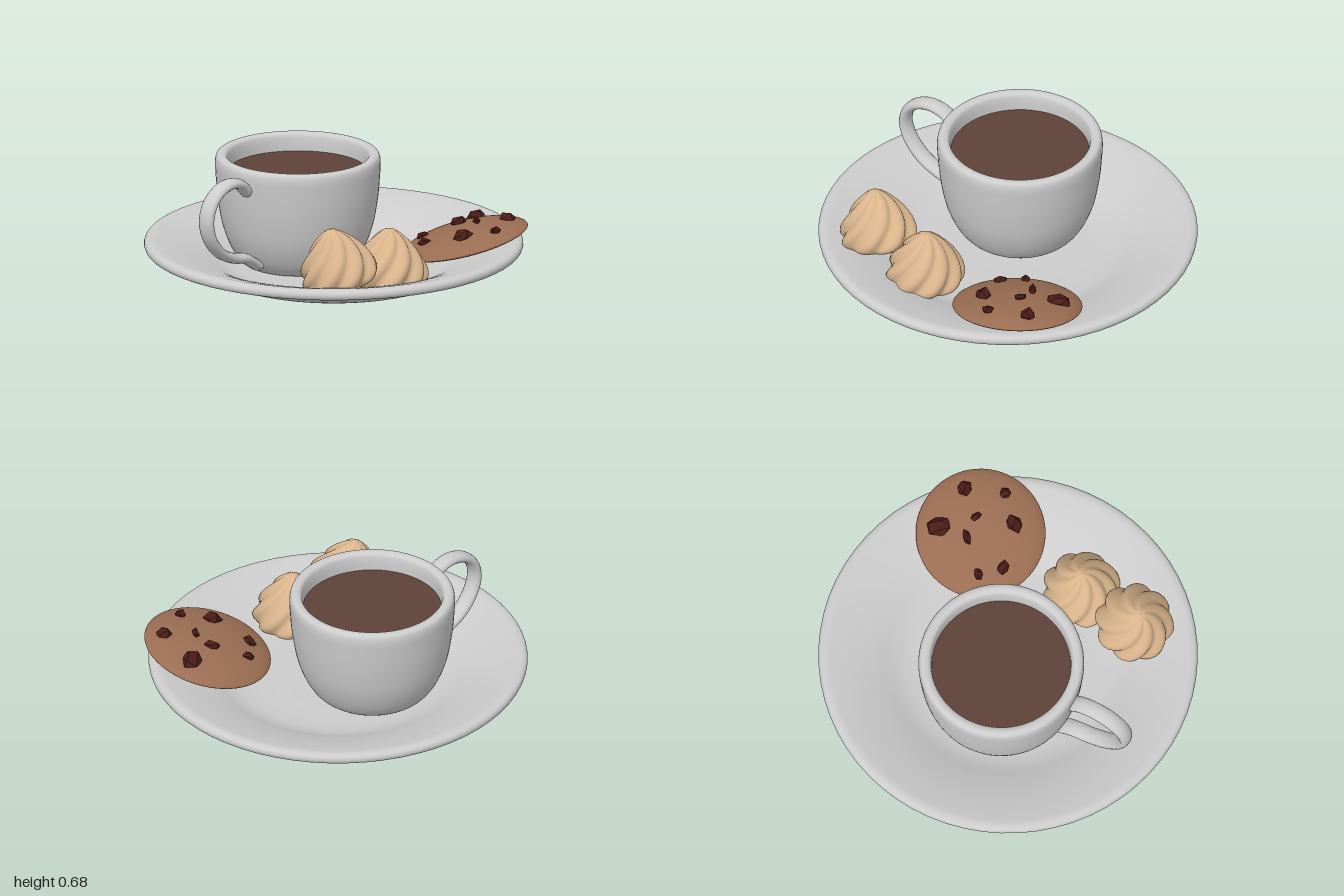
import * as THREE from 'three';

const mat = (color, extra = {}) => new THREE.MeshStandardMaterial({ color, ...extra });
const china = mat(0xcccccc);
const cream = mat(0xd9b48c);
const biscuit = mat(0x9a6d52);
const chocolate = mat(0x4a1c18, { flatShading: true });

function add(parent, name, geometry, material) {
  const mesh = new THREE.Mesh(geometry, material);
  mesh.name = name;
  parent.add(mesh);
  return mesh;
}

// Smooth lathe through a few [radius, height] points, listed from the bottom up the outside
function turned(points, steps = 60, segments = 64) {
  const curve = new THREE.CatmullRomCurve3(
    points.map(([r, y]) => new THREE.Vector3(r, y, 0)), false, 'centripetal');
  const profile = curve.getPoints(steps).map(p => new THREE.Vector2(Math.max(p.x, 0), p.y));
  return new THREE.LatheGeometry(profile, segments);
}

// Piped swirl: a dome whose lobes twist towards the tip
function swirlGeometry() {
  const g = turned([[0, 0], [0.15, 0], [0.19, 0.025], [0.197, 0.065], [0.175, 0.13],
    [0.125, 0.205], [0.07, 0.265], [0.03, 0.295], [0, 0.305]], 40, 96);
  const p = g.attributes.position;
  for (let i = 0; i < p.count; i++) {
    const x = p.getX(i), y = p.getY(i), z = p.getZ(i);
    const lobe = Math.cos(8 * (Math.atan2(z, x) + y * 4.5));
    const k = 1 + (0.075 * lobe - 0.02 * lobe * lobe) * Math.min(1, 0.5 + y * 8);
    p.setXYZ(i, x * k, y, z * k);
  }
  g.computeVertexNormals();
  // Make the normals match along the lathe seam
  const n = g.attributes.normal, rows = 41, last = 96 * rows;
  for (let j = 0; j < rows; j++) {
    const v = new THREE.Vector3().fromBufferAttribute(n, j)
      .add(new THREE.Vector3().fromBufferAttribute(n, last + j)).normalize();
    n.setXYZ(j, v.x, v.y, v.z);
    n.setXYZ(last + j, v.x, v.y, v.z);
  }
  return g;
}

// Irregular chunk: a low-poly ball with each corner pushed by a repeatable amount
function chunkGeometry(seed) {
  const g = new THREE.IcosahedronGeometry(1, 0);
  const p = g.attributes.position;
  for (let i = 0; i < p.count; i++) {
    const x = p.getX(i), y = p.getY(i), z = p.getZ(i);
    const k = 1 + 0.2 * Math.sin(x * 5.1 + y * 7.3 + z * 3.7 + seed * 2.4);
    p.setXYZ(i, x * k, y * k, z * k);
  }
  g.computeVertexNormals();
  return g;
}

function makeCup() {
  const cup = new THREE.Group();
  cup.name = 'cup';
  cup.position.set(-0.205, 0, -0.05);

  add(cup, 'cupBody', turned([[0, 0.08], [0.25, 0.08], [0.29, 0.1], [0.335, 0.155],
    [0.385, 0.27], [0.415, 0.42], [0.428, 0.56], [0.43, 0.645], [0.42, 0.67], [0.398, 0.677],
    [0.374, 0.668], [0.365, 0.64], [0.36, 0.55], [0.345, 0.4], [0.31, 0.25], [0.24, 0.15],
    [0, 0.13]], 80), china);

  const drink = add(cup, 'drink', new THREE.CircleGeometry(0.363, 64), mat(0x5e4238));
  drink.rotation.x = -Math.PI / 2;
  drink.position.y = 0.58;

  // Flattened loop handle, drawn in its own upright plane
  const path = new THREE.CatmullRomCurve3([
    [0.39, 0.535], [0.43, 0.575], [0.48, 0.615], [0.56, 0.63], [0.65, 0.605], [0.715, 0.545],
    [0.738, 0.46], [0.71, 0.365], [0.63, 0.275], [0.53, 0.225], [0.43, 0.2], [0.37, 0.165],
    [0.33, 0.14],
  ].map(([x, y]) => new THREE.Vector3(x, y, 0)));
  const handle = add(cup, 'handle', new THREE.TubeGeometry(path, 64, 0.028, 16), china);
  handle.scale.z = 1.65;
  handle.rotation.y = Math.atan2(-0.85, -0.53);
  return cup;
}

function makeCookie() {
  const cookie = new THREE.Group();
  cookie.name = 'cookie';
  cookie.position.set(0.665, 0.222, -0.105);
  cookie.rotation.z = 0.24;

  const R = 0.338, dome = 0.078;
  add(cookie, 'cookieBody', turned([[0, -0.03], [0.2, -0.024], [0.31, -0.012], [R, 0.003],
    [0.315, 0.024], [0.23, 0.053], [0.12, 0.072], [0, dome]], 40), biscuit);

  // Chips: x, z, half width, half depth, half height
  [
    [0.045, -0.215, 0.056, 0.065, 0.04], [-0.025, -0.075, 0.042, 0.026, 0.025],
    [0.08, -0.02, 0.02, 0.03, 0.02], [0.235, -0.07, 0.045, 0.045, 0.04],
    [-0.22, -0.025, 0.034, 0.026, 0.025], [-0.19, 0.105, 0.036, 0.034, 0.028],
    [0.035, 0.175, 0.045, 0.056, 0.036], [0.195, 0.14, 0.032, 0.03, 0.027],
  ].forEach(([x, z, w, d, h], i) => {
    const chip = add(cookie, 'chocolateChip', chunkGeometry(i + 1), chocolate);
    chip.position.set(x, dome * (1 - (x * x + z * z) / (R * R)) + 0.012, z);
    chip.scale.set(w, h, d);
    chip.rotation.y = (i % 3 - 1) * 0.3;
  });
  return cookie;
}

export function createModel() {
  const model = new THREE.Group();
  model.name = 'cupAndSaucer';

  // Wide saucer with a sunken floor and a rounded rim
  const saucer = add(model, 'saucer', turned([[0, 0.002], [0.25, 0.008], [0.45, 0.025],
    [0.6, 0.058], [0.72, 0.105], [0.84, 0.152], [0.95, 0.178], [0.98, 0.19], [0.987, 0.21],
    [0.978, 0.229], [0.95, 0.237], [0.9, 0.228], [0.8, 0.2], [0.68, 0.155], [0.57, 0.105],
    [0.48, 0.085], [0.25, 0.08], [0, 0.08]], 90), china);
  saucer.position.set(-0.01, 0, -0.003);

  model.add(makeCup(), makeCookie());

  // Two piped meringues, the front one leaning on the other
  const swirl = swirlGeometry();
  const back = add(model, 'meringueBack', swirl, cream);
  back.position.set(0.338, 0.118, 0.4);
  const front = add(model, 'meringueFront', swirl, cream);
  front.position.set(0.125, 0.192, 0.655);
  front.rotation.set(0.06, 0.3, 0.2);
  return model;
}
